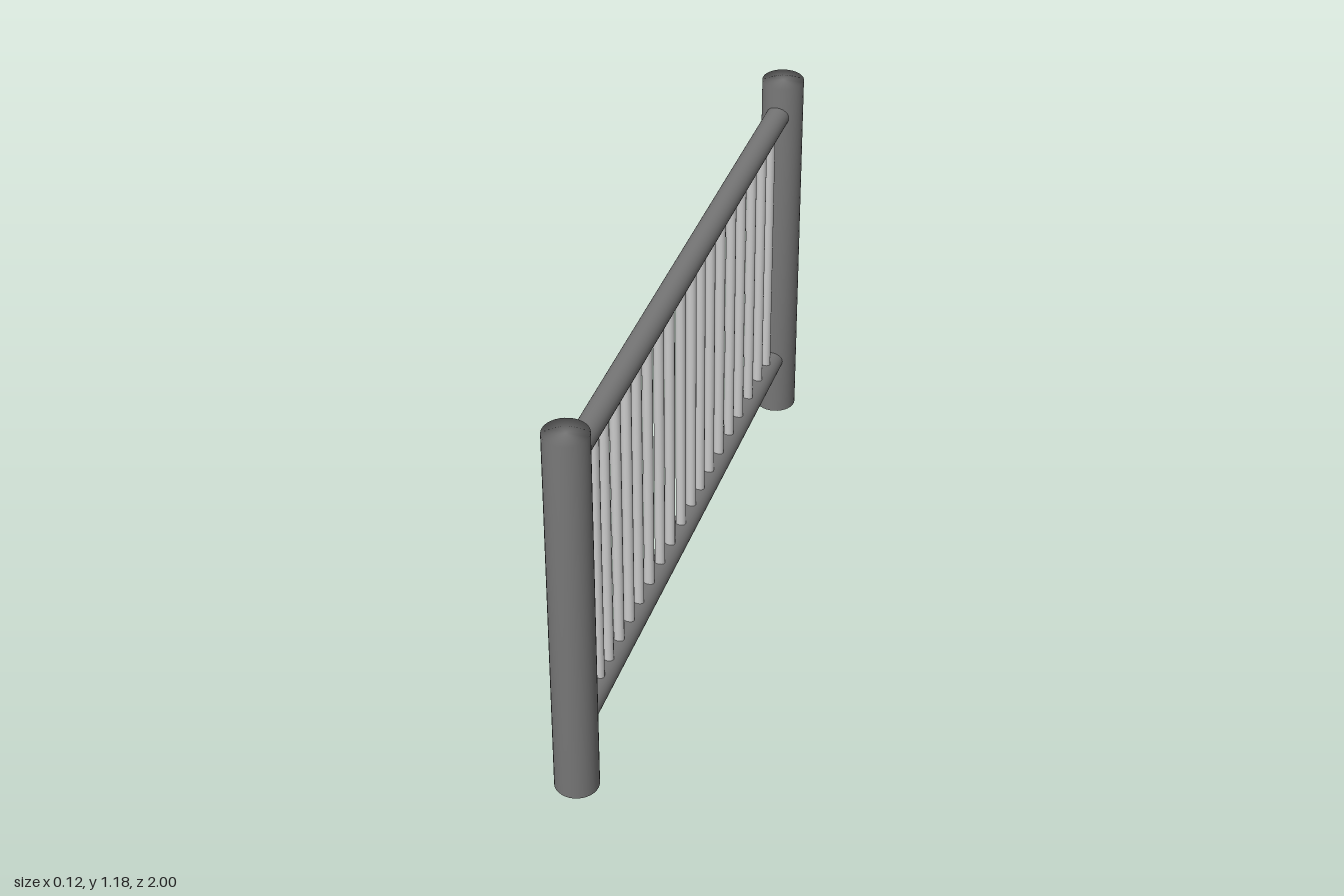
import * as THREE from 'three';
import { mergeVertices } from 'three/addons/utils/BufferGeometryUtils.js';

// Cylinder whose shading runs softly over the rim onto the caps
function softCylinder(radius, length, sides) {
  const geo = new THREE.CylinderGeometry(radius, radius, length, sides);
  geo.deleteAttribute('normal');
  geo.deleteAttribute('uv');
  const merged = mergeVertices(geo, 1e-4);
  merged.computeVertexNormals();
  return merged;
}

export function createModel() {
  const group = new THREE.Group();
  const dark = new THREE.MeshStandardMaterial({ color: 0x777777 });
  const light = new THREE.MeshStandardMaterial({ color: 0xcccccc });

  const add = (name, geo, material, y, z) => {
    const mesh = new THREE.Mesh(geo, material);
    mesh.name = name;
    mesh.position.set(0, y, z);
    group.add(mesh);
    return mesh;
  };

  // End posts
  const postHeight = 1.184, postRadius = 0.0625;
  const postGeo = softCylinder(postRadius, postHeight, 32);
  add('frontPost', postGeo, dark, postHeight / 2, 1 - postRadius);
  add('backPost', postGeo, dark, postHeight / 2, -1 + postRadius);

  // Horizontal rails, let into the posts
  const lowerY = 0.193, upperY = 1.085;
  const railGeo = softCylinder(0.035, 1.84, 32).rotateX(Math.PI / 2);
  add('lowerRail', railGeo, dark, lowerY, 0);
  add('upperRail', railGeo, dark, upperY, 0);

  // Thin, slightly unevenly spaced balusters between the rails
  const barZ = [0.83, 0.745, 0.67, 0.583, 0.497, 0.415, 0.325, 0.23, 0.138, 0.04,
    -0.055, -0.137, -0.228, -0.324, -0.425, -0.522, -0.625, -0.726, -0.814];
  const barGeo = new THREE.CylinderGeometry(0.015, 0.015, upperY - lowerY, 12);
  for (const z of barZ) add('baluster', barGeo, light, (lowerY + upperY) / 2, z);

  return group;
}
